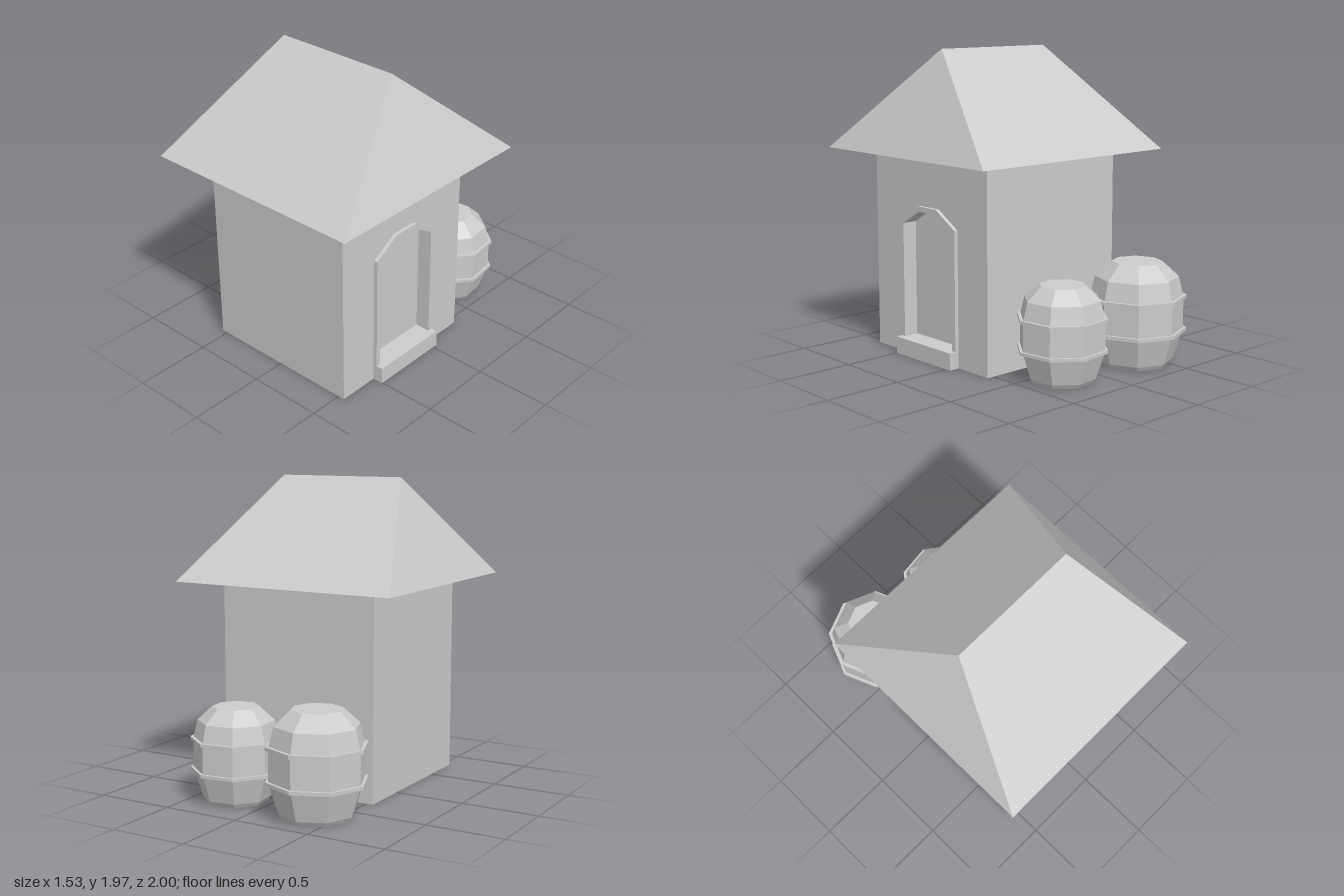
import * as THREE from 'three';

const grey = new THREE.MeshStandardMaterial({ color: 0xcccccc, flatShading: true });
const greyThin = new THREE.MeshStandardMaterial({ color: 0xcccccc, flatShading: true, side: THREE.DoubleSide });

function addMesh(parent, name, geometry, material = grey) {
  const mesh = new THREE.Mesh(geometry, material);
  mesh.name = name;
  parent.add(mesh);
  return mesh;
}

// House dimensions
const HALF_W = 0.545, Z_BACK = -0.31, Z_FRONT = 0.78, WALL_H = 1.315;
const Z_MID = (Z_BACK + Z_FRONT) / 2, DEPTH = Z_FRONT - Z_BACK;
const STEP_H = 0.11, RECESS_X = 0.47;

// Arched doorway outline centred on u = 0, starting at the step
function archPoints(half, topHalf, shoulderY, topY) {
  return [[-half, STEP_H], [half, STEP_H], [half, shoulderY], [topHalf, topY], [-topHalf, topY], [-half, shoulderY]]
    .map(([u, y]) => new THREE.Vector2(u, y));
}

// Flat door-side geometry turned to face +x
function faceSide(geometry, x) {
  return geometry.rotateY(Math.PI / 2).translate(x, 0, Z_MID);
}

function createHouse() {
  const house = new THREE.Group();
  house.name = 'house';

  // Box without its door side, which is a wall with an opening
  const box = new THREE.BoxGeometry(2 * HALF_W, WALL_H, DEPTH);
  box.setIndex(Array.from(box.index.array).slice(6));
  box.clearGroups();
  addMesh(house, 'walls', box.translate(0, WALL_H / 2, Z_MID));

  const outer = archPoints(0.27, 0.09, 0.875, 0.985);
  const inner = archPoints(0.238, 0.08, 0.858, 0.95);
  const h = DEPTH / 2;
  const wall = new THREE.Shape([[-h, 0], [h, 0], [h, WALL_H], [-h, WALL_H]].map(p => new THREE.Vector2(...p)));
  wall.holes.push(new THREE.Path(outer));
  addMesh(house, 'doorWall', faceSide(new THREE.ShapeGeometry(wall), HALF_W));

  // Frame: an open-bottomed band between the two arches
  const frame = new THREE.Shape([...outer.slice(1), outer[0], inner[0], ...inner.slice(1).reverse()]);
  addMesh(house, 'doorFrame',
    faceSide(new THREE.ExtrudeGeometry(frame, { depth: 0.57 - RECESS_X, bevelEnabled: false }), RECESS_X));
  addMesh(house, 'door', faceSide(new THREE.ShapeGeometry(new THREE.Shape(outer)), RECESS_X));

  // Step reaching back into the doorway
  const stepD = 0.615 - RECESS_X;
  addMesh(house, 'doorStep', new THREE.BoxGeometry(stepD, STEP_H, 0.54))
    .position.set(RECESS_X + stepD / 2, STEP_H / 2, Z_MID);

  // Hipped roof
  const corners = [
    [-0.765, WALL_H, 1], [0.765, WALL_H, 1], [0.765, WALL_H, -0.53], [-0.765, WALL_H, -0.53],
    [-0.435, 1.97, Z_MID], [0.435, 1.97, Z_MID],
  ];
  const faces = [0, 1, 5, 0, 5, 4, 2, 3, 4, 2, 4, 5, 1, 2, 5, 3, 0, 4, 0, 3, 2, 0, 2, 1];
  const roof = new THREE.BufferGeometry();
  roof.setAttribute('position', new THREE.Float32BufferAttribute(faces.flatMap(i => corners[i]), 3));
  roof.computeVertexNormals();
  addMesh(house, 'roof', roof);
  return house;
}

function octagonLathe(points) {
  return new THREE.LatheGeometry(points.map(p => new THREE.Vector2(...p)), 8);
}

// Eight-sided barrel, open underneath, with two hoops
function createBarrel(name) {
  const barrel = new THREE.Group();
  barrel.name = name;
  addMesh(barrel, 'staves', octagonLathe([
    [0.215, 0], [0.235, 0.03], [0.295, 0.22], [0.295, 0.43], [0.263, 0.56], [0.16, 0.655], [0, 0.655],
  ]), greyThin);
  for (const y of [0.22, 0.432]) {
    addMesh(barrel, 'hoop', octagonLathe([
      [0.285, y - 0.011], [0.315, y - 0.011], [0.315, y + 0.011], [0.285, y + 0.011],
    ]), greyThin);
  }
  return barrel;
}

export function createModel() {
  const model = new THREE.Group();
  model.name = 'houseWithBarrels';
  model.add(createHouse());

  const large = createBarrel('largeBarrel');
  large.position.set(-0.375, 0, -0.685);
  const small = createBarrel('smallBarrel');
  small.position.set(0.235, 0, -0.638);
  small.rotation.y = -0.27;
  small.scale.setScalar(0.905);
  model.add(large, small);
  return model;
}
